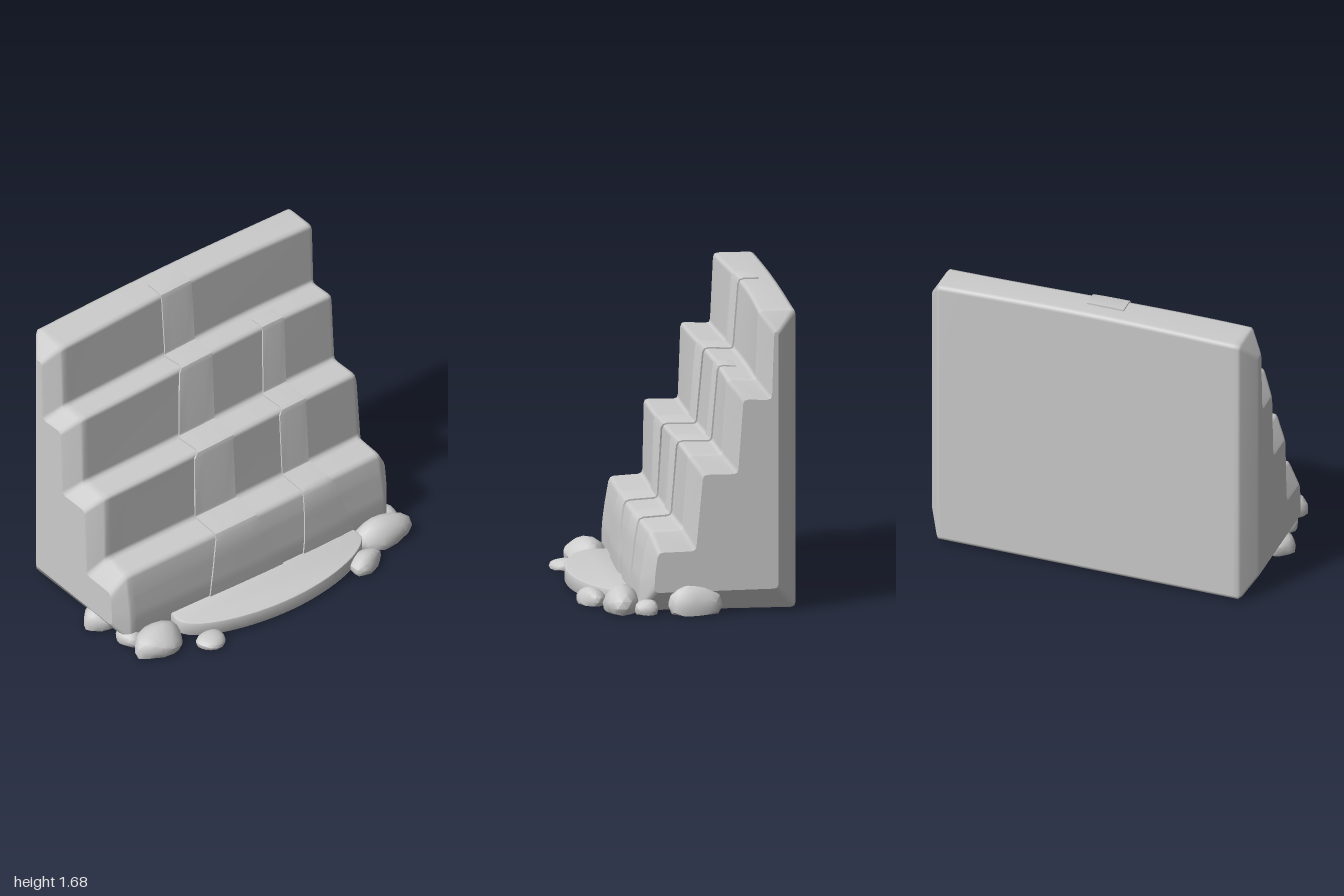
import * as THREE from 'three';
import { toCreasedNormals } from 'three/addons/utils/BufferGeometryUtils.js';

const { lerp } = THREE.MathUtils;

// Stepped cross-section as [z, y], and the smaller one on the bevelled sides
const profile = [
  [0.275, 0.015], [0.27, 0.18], [0.25, 0.32], [0.225, 0.445], [0.045, 0.455], [0.025, 0.865],
  [-0.16, 0.86], [-0.185, 1.28], [-0.345, 1.27], [-0.365, 1.655], [-0.575, 1.655], [-0.575, 0.015],
];
const sideProfile = [
  [0.2, 0.12], [0.2, 0.19], [0.195, 0.26], [0.185, 0.34], [-0.02, 0.345], [-0.05, 0.765],
  [-0.24, 0.765], [-0.27, 1.175], [-0.425, 1.17], [-0.445, 1.545], [-0.475, 1.545], [-0.475, 0.13],
];

// Replace every corner by a short three-point curve
function soften(points, radius, closed) {
  const n = points.length, out = [];
  points.forEach((p, i) => {
    if (!closed && (i === 0 || i === n - 1)) { out.push(p); return; }
    const toward = (q) => {
      const length = Math.hypot(q[0] - p[0], q[1] - p[1]);
      const t = Math.min(radius / length, 0.4);
      return [lerp(p[0], q[0], t), lerp(p[1], q[1], t)];
    };
    const a = toward(points[(i + n - 1) % n]), b = toward(points[(i + 1) % n]);
    out.push(a, [0, 1].map((k) => (a[k] + 2 * p[k] + b[k]) / 4), b);
  });
  return out;
}

// Gentle waviness of the rock across its width
function wave(x, y, z) {
  const front = z > -0.46 ? 1 : 0;
  return [
    x,
    y + (y > 0.3 ? 0.014 * Math.cos(2 * (x - 0.2 + 0.15 * y)) : 0),
    z + front * 0.015 * Math.cos(2.4 * x + 2 * y - 1),
  ];
}

// Skin a grid of rows[i][j]: i runs along the profile, j along +x
function skin(rows, closed) {
  const cols = rows[0].length, index = [];
  for (let i = 0; i < rows.length - (closed ? 0 : 1); i++) {
    for (let j = 0; j < cols - 1; j++) {
      const a = i * cols + j, d = ((i + 1) % rows.length) * cols + j;
      index.push(a, a + 1, d + 1, a, d + 1, d);
    }
  }
  const geometry = new THREE.BufferGeometry();
  geometry.setAttribute('position', new THREE.Float32BufferAttribute(rows.flat(2), 3));
  geometry.setIndex(index);
  geometry.computeVertexNormals();
  return geometry;
}

// Flat side wall closing the body; side is +1 or -1
function sideWall(ring, side) {
  const flat = ring.map(([, y, z]) => new THREE.Vector2(-z, y));
  const index = [];
  for (const [a, b, c] of THREE.ShapeUtils.triangulateShape(flat, [])) {
    const turn = flat[b].clone().sub(flat[a]).cross(flat[c].clone().sub(flat[a]));
    if (turn * side > 0) index.push(a, b, c);
    else index.push(a, c, b);
  }
  const geometry = new THREE.BufferGeometry();
  geometry.setAttribute('position', new THREE.Float32BufferAttribute(ring.flat(), 3));
  geometry.setIndex(index);
  geometry.computeVertexNormals();
  return geometry;
}

// Piecewise-linear lookup in rows of [y, left, right], y descending
function streamEdges(table, y) {
  if (y >= table[0][0]) return table[0].slice(1);
  for (let i = 1; i < table.length; i++) {
    const a = table[i - 1], b = table[i];
    if (y >= b[0]) {
      const t = (a[0] - y) / (a[0] - b[0]);
      return [lerp(a[1], b[1], t), lerp(a[2], b[2], t)];
    }
  }
  return table[table.length - 1].slice(1);
}

// Thin sheet of water following the steps from the pool up to its source
function streamGeometry(table, corners, sourceZ) {
  const last = profile[corners];
  const path = soften([...profile.slice(0, corners), [sourceZ, last[1]]], 0.025, false);
  const rows = path.map((p, i) => {
    const a = path[Math.max(i - 1, 0)], b = path[Math.min(i + 1, path.length - 1)];
    const length = Math.hypot(b[0] - a[0], b[1] - a[1]);
    const nz = (b[1] - a[1]) / length, ny = -(b[0] - a[0]) / length;
    const [left, right] = streamEdges(table, p[1]);
    return [[0, -0.004], [0, 0.009], [0.25, 0.01], [0.5, 0.01], [0.75, 0.01], [1, 0.009], [1, -0.004]]
      .map(([t, lift]) => wave(lerp(left, right, t), p[1] + ny * lift, p[0] + nz * lift));
  });
  // close the upstream end
  rows.push(rows[rows.length - 1].map(([x, y, z]) => [x, y - 0.014, z]));
  return toCreasedNormals(skin(rows, false), 0.7);
}

// Lumpy boulder with a flat underside
function rockGeometry(width, height, depth, seed) {
  const geometry = new THREE.IcosahedronGeometry(1, 2);
  const position = geometry.attributes.position, v = new THREE.Vector3();
  for (let i = 0; i < position.count; i++) {
    v.fromBufferAttribute(position, i);
    const lump = 0.94 + 0.07 * Math.sin(3.1 * v.x + seed) + 0.06 * Math.sin(3.7 * v.z + 2 * seed)
      + 0.04 * Math.sin(4 * v.y + 3 * v.x + seed);
    v.multiplyScalar(lump);
    position.setXYZ(i, v.x * width / 2, Math.max(v.y, -0.35) * height / 1.35 + height * 0.26, v.z * depth / 2);
  }
  geometry.deleteAttribute('uv');
  return toCreasedNormals(geometry, 0.6);
}

export function createModel() {
  const model = new THREE.Group();
  const stone = new THREE.MeshStandardMaterial({ color: 0xcccccc });
  stone.name = 'stone grey';
  const add = (name, geometry) => {
    const mesh = new THREE.Mesh(geometry, stone);
    mesh.name = name;
    model.add(mesh);
    return mesh;
  };

  // Stepped rock: columns as [x, blend towards side profile]
  const columns = [[-0.955, 1], [-0.947, 0.88], [-0.886, 0.1], [-0.872, 0]];
  for (let i = -8; i <= 8; i++) columns.push([i * 0.105, 0]);
  columns.push([0.855, 0], [0.866, 0.1], [0.917, 0.88], [0.925, 1]);
  const outer = soften(profile, 0.025, true), inner = soften(sideProfile, 0.025, true);
  const rows = outer.map((p, i) => columns.map(([x, t]) =>
    wave(x, lerp(p[1], inner[i][1], t), lerp(p[0], inner[i][0], t))));
  add('steppedRock', skin(rows, true));
  add('rightWall', sideWall(rows.map((row) => row[0]), -1));
  add('leftWall', sideWall(rows.map((row) => row[row.length - 1]), 1));

  // Two streams, tables of [y, left edge, right edge]
  add('mainStream', streamGeometry([
    [1.66, -0.18, 0.03], [1.28, -0.18, 0.03], [1.25, -0.215, 0.02], [0.87, -0.235, 0.01],
    [0.84, -0.275, -0.01], [0.46, -0.285, -0.01], [0.42, -0.285, 0], [0.32, -0.31, 0.04],
    [0.18, -0.34, 0.11], [0.02, -0.36, 0.16],
  ], 10, -0.48));
  add('sideStream', streamGeometry([
    [1.28, 0.38, 0.53], [0.87, 0.355, 0.515], [0.84, 0.32, 0.505], [0.46, 0.315, 0.5],
    [0.42, 0.315, 0.525], [0.32, 0.305, 0.555], [0.18, 0.29, 0.6], [0.02, 0.27, 0.65],
  ], 8, -0.28));

  // Shallow pool at the foot, bowed towards the front
  const poolShape = new THREE.Shape();
  poolShape.moveTo(-0.6, -0.1);
  poolShape.lineTo(0.6, -0.1);
  poolShape.lineTo(0.61, -0.28);
  poolShape.bezierCurveTo(0.7, -0.42, 0.35, -0.555, 0.01, -0.555);
  poolShape.bezierCurveTo(-0.33, -0.555, -0.68, -0.42, -0.6, -0.28);
  poolShape.closePath();
  const poolGeometry = new THREE.ExtrudeGeometry(poolShape, {
    depth: 0.068, bevelThickness: 0.008, bevelSize: 0.008, bevelSegments: 2, curveSegments: 16,
  });
  poolGeometry.rotateX(-Math.PI / 2);
  add('pool', toCreasedNormals(poolGeometry, 0.6)).position.y = 0.014;

  // Boulders: x, z, width, height, depth, seed, turn
  [
    [-0.775, 0.36, 0.35, 0.13, 0.25, 1, 0.15], [-0.525, 0.51, 0.21, 0.06, 0.14, 2, 0.2],
    [0.55, 0.49, 0.24, 0.095, 0.15, 3, 0.3], [0.775, 0.36, 0.33, 0.145, 0.24, 4, -0.1],
    [0.885, 0.24, 0.13, 0.09, 0.14, 5, 0], [0.885, -0.02, 0.23, 0.175, 0.3, 6, 0],
    [-0.9, 0.0, 0.2, 0.12, 0.2, 7, 0], [-0.86, 0.22, 0.16, 0.09, 0.16, 8, 0],
  ].forEach(([x, z, width, height, depth, seed, turn], i) => {
    const rock = add(`boulder${i + 1}`, rockGeometry(width, height, depth, seed));
    rock.position.set(x, 0, z);
    rock.rotation.y = turn;
  });

  return model;
}
